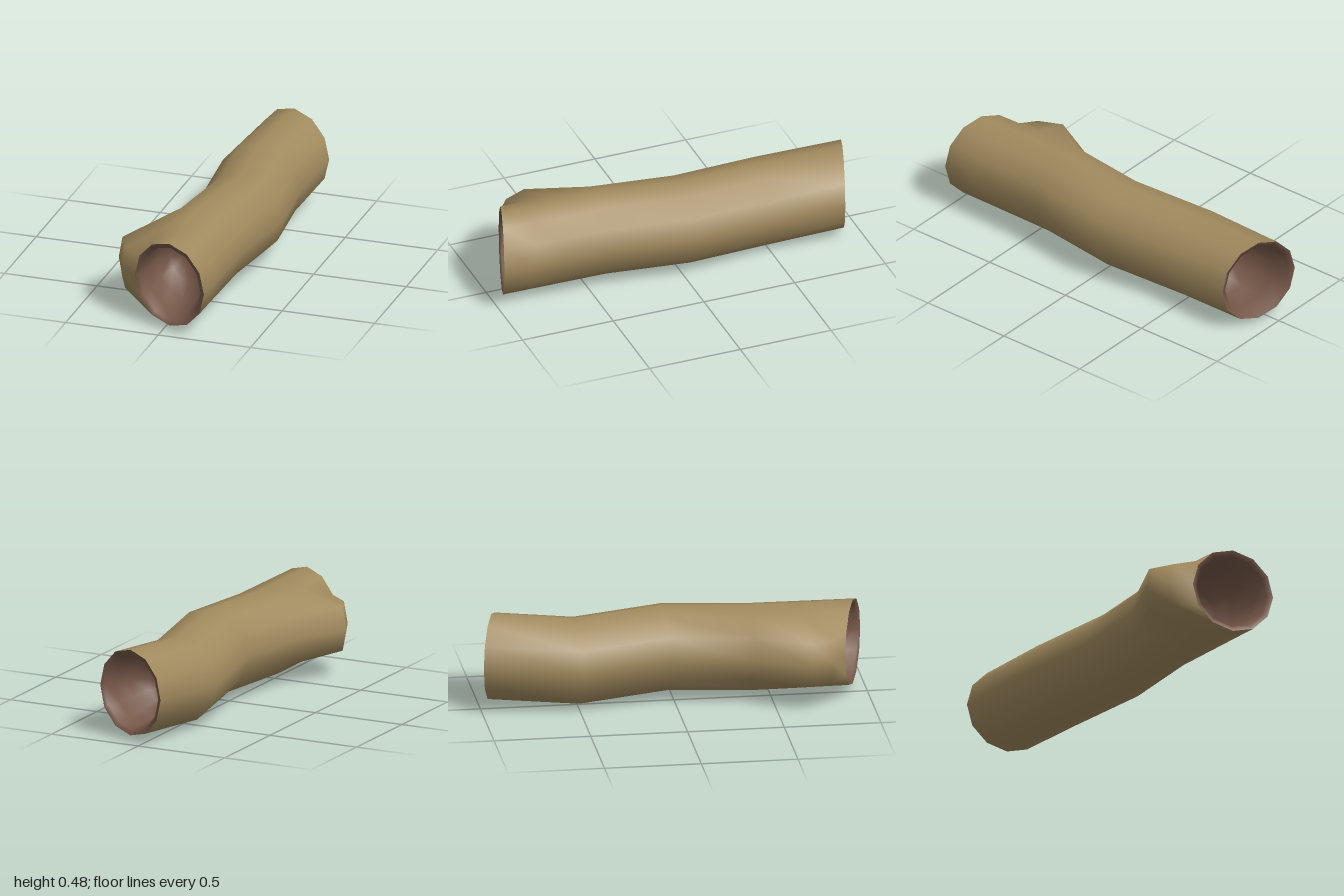
import * as THREE from 'three';

const SIDES = 12;
const R = 0.227;
const SLANT = 0.325; // slope of the two cut ends

// One ring of points around the trunk; rx may be narrower, slant leans the ring
function ring(x, y, z, r, rx = r, slant = 0) {
  return Array.from({ length: SIDES }, (_, j) => {
    const a = (j / SIDES) * Math.PI * 2;
    const dx = Math.cos(a) * rx;
    return [x + dx, y + Math.sin(a) * r, z + dx * slant];
  });
}

// Skin a list of rings with smooth normals
function loft(rings, inward) {
  const index = [];
  for (let i = 0; i < rings.length - 1; i++) {
    for (let j = 0; j < SIDES; j++) {
      const k = (j + 1) % SIDES;
      const a = i * SIDES + j, c = i * SIDES + k;
      const b = a + SIDES, d = c + SIDES;
      if (inward) index.push(a, c, b, c, d, b);
      else index.push(a, b, c, c, b, d);
    }
  }
  const geo = new THREE.BufferGeometry();
  geo.setAttribute('position', new THREE.Float32BufferAttribute(rings.flat(2), 3));
  geo.setIndex(index);
  geo.computeVertexNormals();
  return geo;
}

// Pull the three left-hand points of a ring out into the branch stub
function bulge(points, tipX, sideX, z) {
  [[5, sideX], [6, tipX], [7, sideX]].forEach(([j, x]) => {
    points[j][0] = x;
    points[j][2] = z;
  });
  return points;
}

// Bowl-shaped hollow sunk into a cut end; dir is the z direction going inwards
function hollow(x, y, z, dir, driftX, driftY) {
  const profile = [[R, 0], [0.2, 0.012], [0.187, 0.1], [0.17, 0.22], [0.12, 0.31], [0.06, 0.35], [0.001, 0.36]];
  const rings = profile.map(([r, d]) =>
    ring(x + driftX * d, y + driftY * d, z + dir * d, r, r * 0.925, SLANT));
  return loft(rings, dir < 0);
}

export function createModel() {
  const bark = new THREE.MeshStandardMaterial({ color: 0xa18a5e });
  bark.name = 'bark';
  const wood = new THREE.MeshStandardMaterial({ color: 0x765849 });
  wood.name = 'inner wood';

  const group = new THREE.Group();
  group.name = 'hollowLog';
  const add = (name, geo, mat) => {
    const mesh = new THREE.Mesh(geo, mat);
    mesh.name = name;
    group.add(mesh);
  };

  // Bent trunk with the branch stub near its front end
  add('trunk', loft([
    ring(0.037, 0.26, 0.93, R, 0.21, SLANT),
    bulge(ring(0.036, 0.26, 0.78, R, 0.215, 0.2), -0.272, -0.25, 0.79),
    bulge(ring(0.035, 0.26, 0.66, R, 0.22, 0.1), -0.325, -0.305, 0.67),
    ring(0.035, 0.26, 0.4, R),
    ring(0.095, 0.26, -0.04, R),
    ring(0.035, 0.23, -0.5, R),
    ring(0.08, 0.26, -0.932, R, 0.21, SLANT),
  ], false), bark);

  // Hollows in both cut ends
  add('frontHollow', hollow(0.037, 0.26, 0.93, -1, 0, 0), wood);
  add('backHollow', hollow(0.08, 0.26, -0.932, 1, -0.1, -0.06), wood);

  return group;
}
